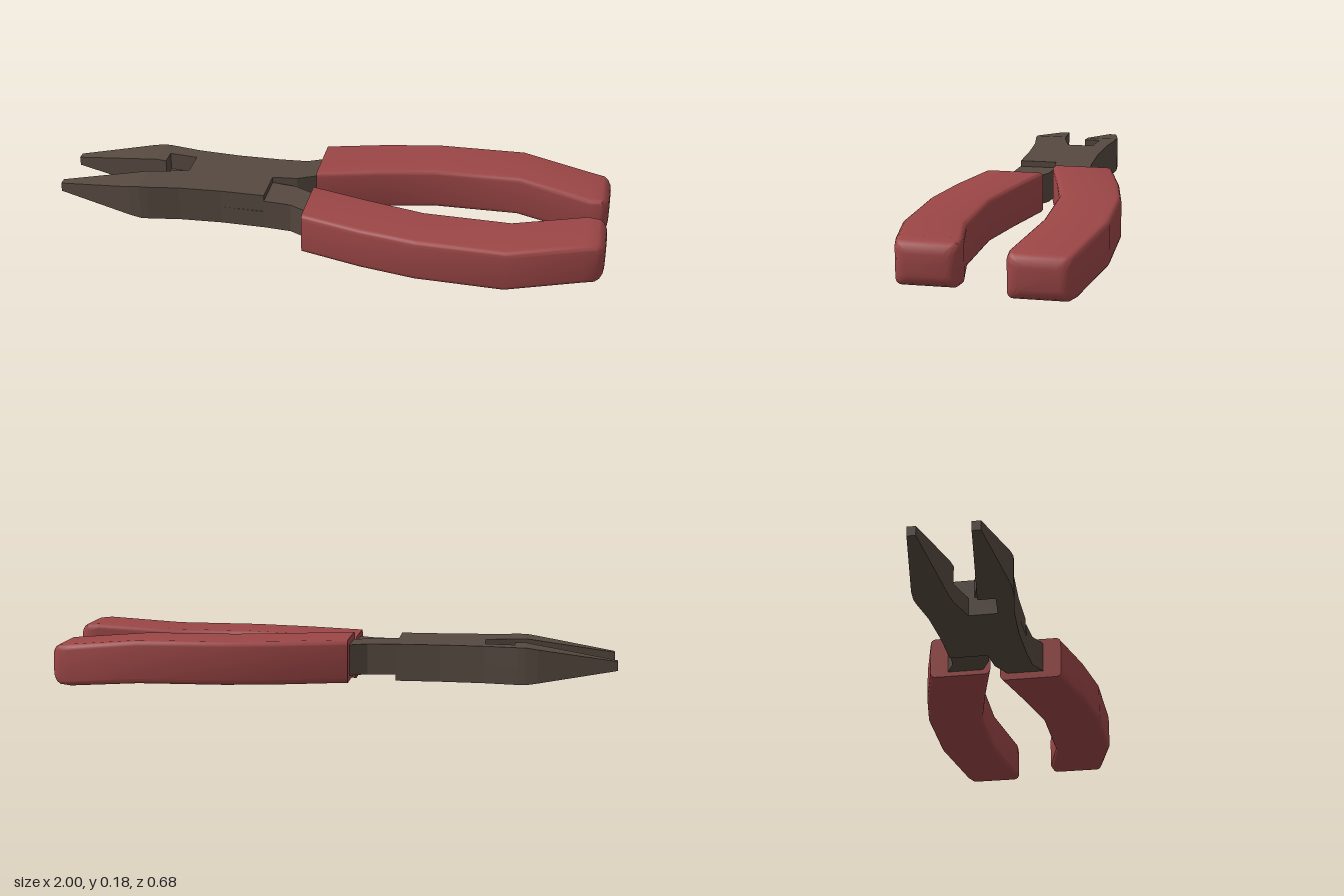
import * as THREE from 'three';
import { toCreasedNormals } from 'three/addons/utils/BufferGeometryUtils.js';

const MID = 0.0915;   // height of the plane where the two halves meet
const HALF = 0.066;   // half thickness of the steel

const steel = new THREE.MeshStandardMaterial({ color: 0x564940 });
steel.name = 'dark steel';
const rubber = new THREE.MeshStandardMaterial({ color: 0x9c4646 });
rubber.name = 'red rubber';

// Flat plate: outline given as [x, z], raised from y0 to y1
function plate(name, outline, y0, y1) {
  const shape = new THREE.Shape(outline.map(([x, z]) => new THREE.Vector2(x, -z)));
  const geo = new THREE.ExtrudeGeometry(shape, { depth: y1 - y0, bevelEnabled: false });
  geo.rotateX(-Math.PI / 2).translate(0, y0, 0);
  const mesh = new THREE.Mesh(geo, steel);
  mesh.name = name;
  return mesh;
}

// Jaw tip, thinned towards its point
function jawTip() {
  const mesh = plate('jawTip',
    [[-1, 0.087], [-1, 0.116], [-0.72, 0.163], [-0.68, 0.165], [-0.68, 0.045]],
    MID - HALF, MID + HALF);
  const p = mesh.geometry.attributes.position;
  for (let i = 0; i < p.count; i++) {
    const t = (-0.68 - p.getX(i)) / 0.32;
    p.setY(i, MID + (p.getY(i) - MID) * (1 - 0.75 * t));
  }
  mesh.geometry.computeVertexNormals();
  return mesh;
}

// Rounded-rectangle ring at one station of the grip
function ring([x, z0, z1, y0, y1, r]) {
  const pts = [];
  const corners = [[z0 + r, y1 - r], [z1 - r, y1 - r], [z1 - r, y0 + r], [z0 + r, y0 + r]];
  corners.forEach(([z, y], k) => {
    for (let i = 0; i <= 4; i++) {
      const a = (k + i / 4) * Math.PI / 2;
      pts.push([x, y + r * Math.sin(a), z - r * Math.cos(a)]);
    }
  });
  return pts;
}

// Grip: rings joined along x, closed at both ends
function grip() {
  const stations = [ // x, z0, z1, y0, y1, corner radius
    [-0.06, -0.24, -0.018, 0.03, 0.183, 0.018],
    [0.16, -0.298, -0.075, 0.03, 0.183, 0.018],
    [0.36, -0.334, -0.12, 0.03, 0.183, 0.018],
    [0.67, -0.342, -0.126, 0.03, 0.183, 0.018],
    [0.93, -0.288, -0.07, 0.005, 0.155, 0.02],
  ];
  // Rounded end
  for (let i = 1; i <= 4; i++) {
    const a = i / 4 * Math.PI / 2, d = 0.04 * (1 - Math.cos(a));
    stations.push([0.955 + 0.045 * Math.sin(a), -0.281 + d, -0.07 - d,
      0.005 + d, 0.155 - d, 0.02]);
  }
  const rings = stations.map(ring), n = rings[0].length, index = [];
  const verts = rings.flat();
  for (let s = 0; s < rings.length - 1; s++) {
    for (let j = 0; j < n; j++) {
      const k = (j + 1) % n;
      const a = s * n + j, b = s * n + k, c = a + n, d = b + n;
      index.push(a, b, c, b, d, c);
    }
  }
  const last = (rings.length - 1) * n;
  for (let j = 1; j < n - 1; j++) {
    index.push(0, j + 1, j, last, last + j, last + j + 1);
  }
  const geo = new THREE.BufferGeometry();
  geo.setAttribute('position', new THREE.Float32BufferAttribute(verts.flat(), 3));
  geo.setIndex(index);
  const mesh = new THREE.Mesh(toCreasedNormals(geo, 0.5), rubber);
  mesh.name = 'grip';
  return mesh;
}

// One half: front jaw, pivot plate, rear shank and grip
function half(name) {
  const g = new THREE.Group();
  g.name = name;
  const shank = [[-0.22, 0], [-0.13, -0.01], [-0.06, -0.045], [0, -0.07],
    [0, -0.2], [-0.06, -0.175], [-0.12, -0.145], [-0.22, -0.138]];
  g.add(
    jawTip(),
    plate('pivotPlate', [[-0.68, 0.045], [-0.68, 0.165], [-0.65, 0.163], [-0.535, 0.145],
      [-0.38, 0.136], [-0.22, 0.136], ...shank, [-0.38, -0.136], [-0.535, -0.145],
      [-0.535, 0.01], [-0.64, 0.04]], MID, MID + HALF),
    // Lower jaw layer with the notch that clears the other half
    plate('jawBase', [[-0.68, 0.045], [-0.68, 0.165], [-0.65, 0.163], [-0.535, 0.145],
      [-0.535, 0.09], [-0.64, 0.1], [-0.64, 0.04]], MID - HALF, MID),
    plate('shank', shank, MID - 0.044, MID),
    grip(),
  );
  return g;
}

export function createModel() {
  const model = new THREE.Group();
  model.name = 'pliers';
  const upper = half('upperHalf');
  // The second half is the first turned over about the long axis
  const lower = half('lowerHalf');
  lower.rotation.x = Math.PI;
  lower.position.y = 2 * MID;
  model.add(upper, lower);
  return model;
}
